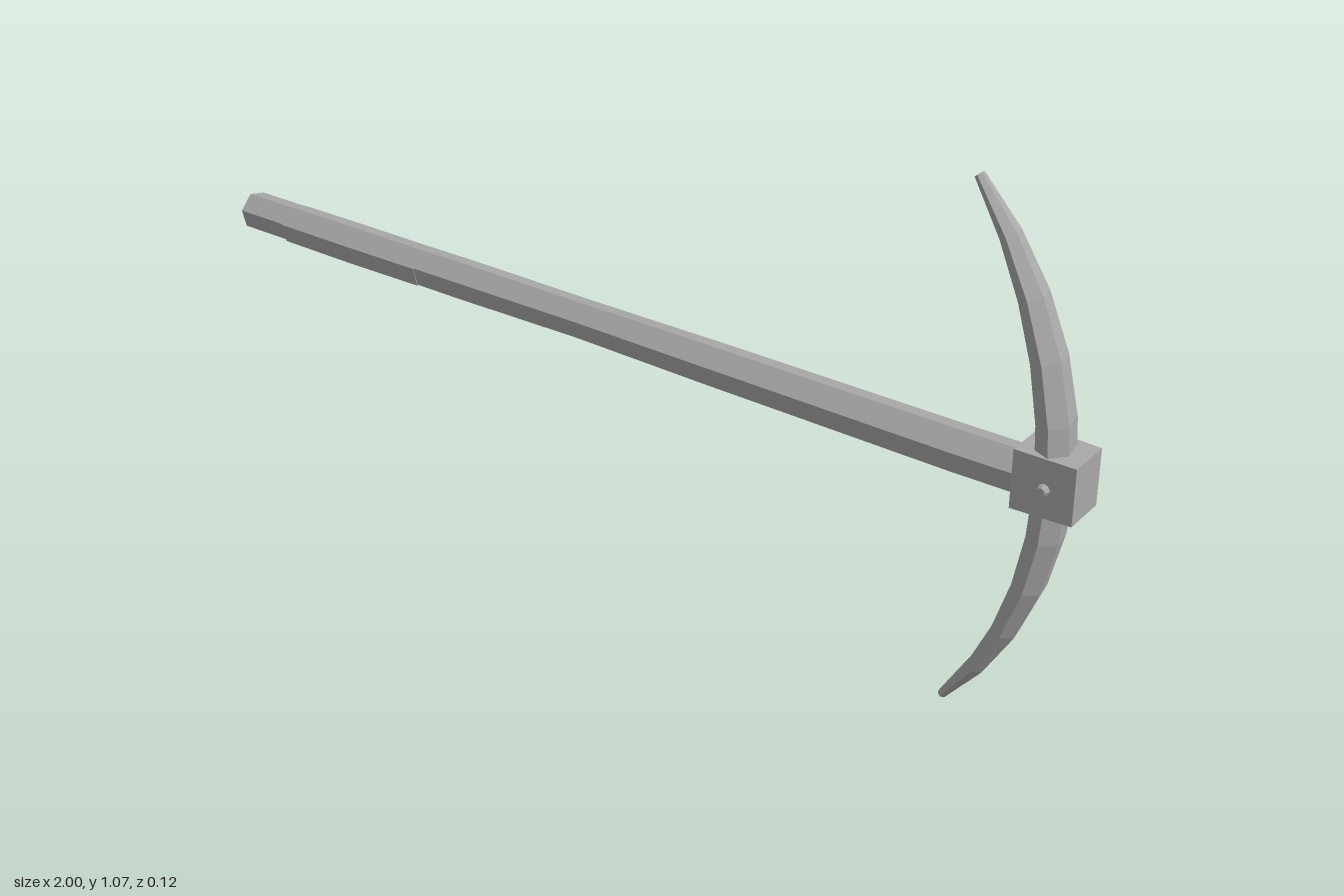
import * as THREE from 'three';

const MID_Y = 0.545;
const SIDES = 6;

// Flat-faced solid through elliptical six-sided rings.
// Each ring: centre c, axes u and v, radii ru and rv; u x v points along the path.
function loft(rings, turn) {
  const pts = rings.map(({ c, u, v, ru, rv }) =>
    Array.from({ length: SIDES }, (_, j) => {
      const a = turn + (j * Math.PI * 2) / SIDES;
      return c.clone().addScaledVector(u, ru * Math.cos(a)).addScaledVector(v, rv * Math.sin(a));
    }));
  const out = [];
  const tri = (...p) => p.forEach((q) => out.push(q.x, q.y, q.z));
  for (let i = 0; i < pts.length - 1; i++) {
    for (let j = 0; j < SIDES; j++) {
      const k = (j + 1) % SIDES;
      tri(pts[i][j], pts[i][k], pts[i + 1][k]);
      tri(pts[i][j], pts[i + 1][k], pts[i + 1][j]);
    }
  }
  const first = pts[0], last = pts[pts.length - 1];
  for (let j = 1; j < SIDES - 1; j++) {
    tri(first[0], first[j + 1], first[j]);
    tri(last[0], last[j], last[j + 1]);
  }
  const g = new THREE.BufferGeometry();
  g.setAttribute('position', new THREE.Float32BufferAttribute(out, 3));
  g.computeVertexNormals();
  return g;
}

// Rings for a rod lying along x: [x, y offset, z offset, radius], from right to left
const rod = (stations) => stations.map(([x, y, z, r]) => ({
  c: new THREE.Vector3(x, MID_Y + y, z),
  u: new THREE.Vector3(0, 0, 1),
  v: new THREE.Vector3(0, 1, 0),
  ru: r, rv: r,
}));

export function createModel() {
  const model = new THREE.Group();
  model.name = 'pickaxe';
  const steel = new THREE.MeshStandardMaterial({ color: 0xa8a8a8 });
  steel.name = 'grey';
  const add = (name, geometry) => {
    const mesh = new THREE.Mesh(geometry, steel);
    mesh.name = name;
    model.add(mesh);
    return mesh;
  };
  const turn = THREE.MathUtils.degToRad(15);

  // Slightly uneven shaft
  add('handle', loft(rod([
    [0.93, -0.005, 0, 0.046],
    [0.75, -0.006, 0, 0.046],
    [0.2, -0.003, -0.003, 0.044],
    [-0.1, -0.001, -0.004, 0.041],
    [-0.4, -0.002, -0.005, 0.043],
    [-1, 0, -0.002, 0.041],
  ]), turn));

  // Grip sleeve near the free end
  add('grip', loft(rod([
    [-0.51, -0.003, -0.004, 0.0435],
    [-0.7, -0.003, -0.004, 0.0445],
    [-0.88, -0.002, -0.003, 0.0435],
  ]), turn));

  // Curved double-pointed head, thinning towards both tips
  const arcR = 0.834;
  const half = Math.asin(0.53 / arcR);
  const headRings = [];
  for (let i = 0; i <= 10; i++) {
    const t = i / 5 - 1;
    const a = t * half;
    const taper = Math.pow(Math.abs(t), 2.2);
    const v = new THREE.Vector3(Math.cos(a), Math.sin(a), 0);
    headRings.push({
      c: new THREE.Vector3(0.94 - arcR, MID_Y - 0.005, 0).addScaledVector(v, arcR),
      u: new THREE.Vector3(0, 0, 1),
      v,
      ru: 0.047 - 0.036 * taper,
      rv: 0.034 - 0.025 * taper,
    });
  }
  add('pickHead', loft(headRings, THREE.MathUtils.degToRad(12)));

  // Socket block, slightly narrower at its outer face
  const block = new THREE.BoxGeometry(0.12, 0.118, 0.1);
  const p = block.attributes.position;
  for (let i = 0; i < p.count; i++) {
    if (p.getX(i) > 0) p.setXYZ(i, p.getX(i), p.getY(i) * 0.97, p.getZ(i) * 0.94);
  }
  block.computeVertexNormals();
  add('socketBlock', block).position.set(0.94, MID_Y, 0);

  // Rivet on each cheek of the block
  for (const side of [-1, 1]) {
    const rivet = new THREE.CylinderGeometry(0.008, 0.014, 0.014, 8).toNonIndexed();
    rivet.computeVertexNormals();
    const mesh = add(side > 0 ? 'frontRivet' : 'backRivet', rivet);
    mesh.rotation.x = (side * Math.PI) / 2;
    mesh.position.set(0.942, MID_Y - 0.002, side * 0.052);
  }
  return model;
}
